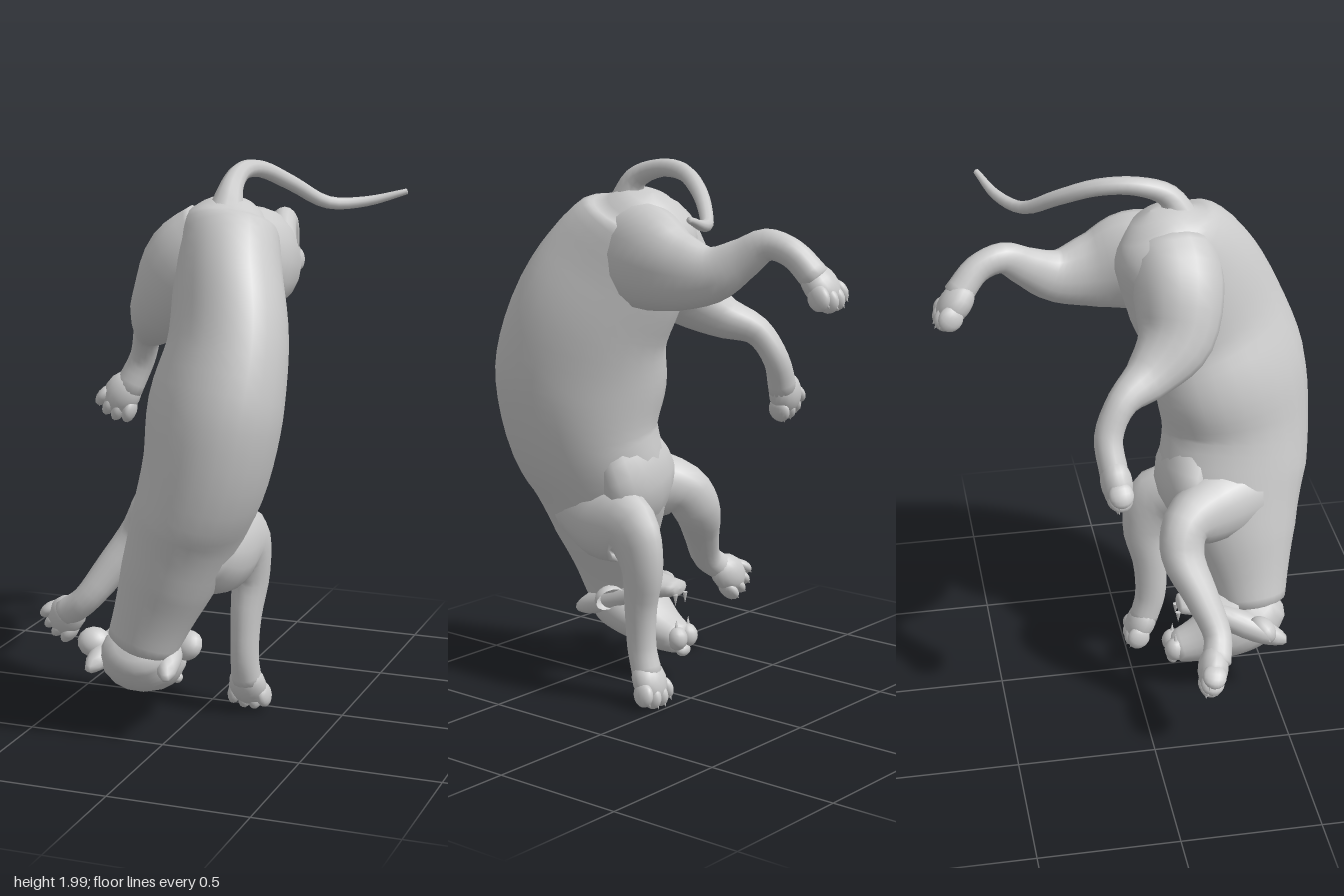
import * as THREE from 'three';

const grey = new THREE.MeshStandardMaterial({ color: 0xcccccc });
const V = (a) => new THREE.Vector3(...a);

// Skin over stations [x, y, z, radiusAcross, radiusDeep, skew], rounded off at both ends
function loft(name, stations, sides = 16, steps = 4) {
  const path = new THREE.CatmullRomCurve3(stations.map((s) => V(s.slice(0, 3))));
  const radii = new THREE.CatmullRomCurve3(
    stations.map((s) => new THREE.Vector3(s[3], s[4] ?? s[3], s[5] ?? 0)), false, 'catmullrom');
  const n = (stations.length - 1) * steps;
  const pos = [], idx = [];
  const normal = new THREE.Vector3(1, 0, 0), tangent = new THREE.Vector3(), across = new THREE.Vector3();
  const ring = (c, r, size, shift) => {
    for (let j = 0; j < sides; j++) {
      const t = (j / sides) * Math.PI * 2;
      const p = c.clone().addScaledVector(tangent, shift)
        .addScaledVector(normal, Math.cos(t) * r.x * size)
        .addScaledVector(across, Math.sin(t + r.z) * r.y * size);
      pos.push(p.x, p.y, p.z);
    }
  };
  for (let i = 0; i <= n; i++) {
    const t = i / n, c = path.getPoint(t), r = radii.getPoint(t);
    path.getTangent(t, tangent);
    normal.addScaledVector(tangent, -normal.dot(tangent)).normalize();
    across.crossVectors(tangent, normal);
    const bulge = 0.35 * Math.min(r.x, r.y);
    if (i === 0) {
      ring(c, r, 0, -bulge);
      ring(c, r, 0.65, -bulge * 0.7);
    }
    ring(c, r, 1, 0);
    if (i === n) {
      ring(c, r, 0.65, bulge * 0.7);
      ring(c, r, 0, bulge);
    }
  }
  for (let i = 0; i < n + 4; i++) {
    for (let j = 0; j < sides; j++) {
      const k = (j + 1) % sides;
      const a = i * sides + j, b = i * sides + k, c = a + sides, d = b + sides;
      idx.push(a, b, c, b, d, c);
    }
  }
  const g = new THREE.BufferGeometry();
  g.setAttribute('position', new THREE.Float32BufferAttribute(pos, 3));
  g.setIndex(idx);
  g.computeVertexNormals();
  const mesh = new THREE.Mesh(g, grey);
  mesh.name = name;
  return mesh;
}

function ball(name, p, size) {
  const m = new THREE.Mesh(new THREE.SphereGeometry(1, 14, 10), grey);
  m.position.set(...p);
  m.scale.set(...size);
  m.name = name;
  return m;
}

function cone(name, p, r, h, rotX) {
  const m = new THREE.Mesh(new THREE.ConeGeometry(r, h, 7), grey);
  m.position.set(...p);
  m.rotation.x = rotX;
  m.name = name;
  return m;
}

// Group whose local z points along dir and local x along side
function oriented(name, p, dir, side) {
  const z = V(dir).normalize(), x = V(side);
  x.addScaledVector(z, -x.dot(z)).normalize();
  const g = new THREE.Group();
  g.quaternion.setFromRotationMatrix(new THREE.Matrix4().makeBasis(x, z.clone().cross(x), z));
  g.position.set(...p);
  g.name = name;
  return g;
}

function paw(name, p, dir, side) {
  const g = oriented(name, p, dir, side);
  g.add(ball('pad', [0, 0, -0.01], [0.07, 0.055, 0.085]));
  for (let i = 0; i < 4; i++) {
    const u = i - 1.5, z = 0.05 - 0.008 * u * u;
    const toe = ball('toe', [u * 0.037, 0, z], [0.025, 0.043, 0.047]);
    toe.rotation.y = u * 0.12;
    g.add(toe, cone('claw', [u * 0.039, -0.015, z + 0.042], 0.009, 0.022, Math.PI / 2));
  }
  return g;
}

export function createModel() {
  const model = new THREE.Group();

  // Upside-down, slightly twisted trunk, rump at the top and neck at the bottom
  model.add(loft('body', [
    [0.11, 1.84, 0.10, 0.11, 0.12, 0.1], [0.105, 1.77, 0.13, 0.18, 0.20, 0.2], [0.14, 1.6, 0.23, 0.205, 0.255, 0.3],
    [0.175, 1.4, 0.33, 0.23, 0.27, 0.32], [0.155, 1.2, 0.39, 0.255, 0.29, 0.3], [0.13, 1.0, 0.41, 0.23, 0.28, 0.2],
    [0.06, 0.8, 0.39, 0.20, 0.275, 0.1], [-0.01, 0.6, 0.41, 0.17, 0.21, 0.05],
    [-0.06, 0.46, 0.425, 0.14, 0.16], [-0.1, 0.35, 0.435, 0.125, 0.13],
  ], 24));

  // Tail arching over the rump
  model.add(loft('tail', [
    [0.12, 1.82, 0.2, 0.07], [0.125, 1.92, 0.15, 0.042], [0.125, 1.965, 0.04, 0.033], [0.15, 1.96, -0.09, 0.03],
    [0.22, 1.9, -0.22, 0.027], [0.32, 1.825, -0.33, 0.023], [0.44, 1.825, -0.41, 0.019], [0.575, 1.86, -0.465, 0.011],
  ], 10));

  // Legs
  model.add(loft('leftHindLeg', [
    [0.14, 1.68, 0.17, 0.14, 0.17], [0.185, 1.655, 0.03, 0.13, 0.185], [0.195, 1.625, -0.11, 0.095, 0.14],
    [0.175, 1.625, -0.24, 0.068, 0.098], [0.145, 1.68, -0.34, 0.052, 0.072], [0.12, 1.735, -0.43, 0.047, 0.055],
    [0.1, 1.71, -0.52, 0.047, 0.05], [0.07, 1.63, -0.595, 0.055, 0.052],
  ]));
  model.add(loft('rightHindLeg', [
    [0.08, 1.72, 0.15, 0.17, 0.16], [-0.02, 1.64, 0.16, 0.175, 0.16], [-0.125, 1.5, 0.13, 0.125, 0.135],
    [-0.205, 1.41, 0.03, 0.08, 0.09], [-0.28, 1.355, -0.08, 0.054, 0.055],
    [-0.325, 1.25, -0.135, 0.048, 0.05], [-0.38, 1.13, -0.125, 0.055, 0.05],
  ]));
  model.add(loft('leftForeleg', [
    [0.1, 0.72, 0.45, 0.12, 0.13], [0.13, 0.68, 0.3, 0.125, 0.16], [0.17, 0.66, 0.14, 0.085, 0.13],
    [0.175, 0.54, 0.085, 0.068, 0.09], [0.165, 0.38, 0.1, 0.054, 0.066],
    [0.16, 0.23, 0.1, 0.05, 0.058], [0.16, 0.13, 0.075, 0.056, 0.055],
  ]));
  model.add(loft('rightForeleg', [
    [-0.01, 0.78, 0.44, 0.12, 0.14], [-0.08, 0.77, 0.29, 0.12, 0.14], [-0.165, 0.745, 0.17, 0.085, 0.1],
    [-0.22, 0.66, 0.15, 0.074, 0.088], [-0.31, 0.54, 0.2, 0.06, 0.068],
    [-0.4, 0.42, 0.245, 0.05, 0.054], [-0.48, 0.36, 0.225, 0.055, 0.052],
  ]));
  model.add(loft('chest', [
    [0.1, 1.0, 0.27, 0.13, 0.1], [0.05, 0.82, 0.2, 0.18, 0.1], [0, 0.66, 0.26, 0.12, 0.08],
  ]));

  model.add(paw('leftHindPaw', [0.055, 1.6, -0.61], [-0.1, -0.75, -0.6], [1, 0, 0]));
  model.add(paw('rightHindPaw', [-0.405, 1.105, -0.12], [-0.45, -0.85, 0.12], [0.85, -0.5, 0]));
  model.add(paw('leftForePaw', [0.16, 0.1, 0.06], [0, -0.85, -0.4], [1, 0, 0]));
  model.add(paw('rightForePaw', [-0.495, 0.34, 0.21], [-0.7, -0.65, -0.2], [0.7, -0.7, 0]));

  // Head with crown down and open mouth towards the back
  const head = new THREE.Group();
  head.name = 'head';
  head.add(loft('skull', [
    [-0.1, 0.355, 0.5, 0.11, 0.09], [-0.115, 0.3, 0.43, 0.14, 0.12], [-0.12, 0.25, 0.34, 0.135, 0.105],
    [-0.12, 0.205, 0.24, 0.095, 0.082], [-0.12, 0.18, 0.15, 0.066, 0.058],
  ], 18));
  head.add(loft('lowerJaw', [
    [-0.11, 0.365, 0.36, 0.11, 0.06], [-0.115, 0.37, 0.25, 0.078, 0.044], [-0.12, 0.375, 0.16, 0.052, 0.03],
  ], 12));
  head.add(ball('nose', [-0.12, 0.14, 0.135], [0.034, 0.024, 0.022]));
  for (const s of [-1, 1]) {
    const x = -0.12;
    head.add(ball('eye', [x + s * 0.082, 0.175, 0.26], [0.02, 0.02, 0.022]));
    head.add(ball('muzzlePad', [x + s * 0.03, 0.19, 0.14], [0.038, 0.045, 0.04]));
    head.add(cone('upperFang', [x + s * 0.034, 0.24, 0.14], 0.011, 0.05, 0));
    head.add(cone('lowerFang', [x + s * 0.028, 0.335, 0.15], 0.01, 0.045, Math.PI));
    // Ruff sweeping from the nape along the jaw
    const ruff = ball('ruff', [x + s * 0.105, 0.325, 0.39], [0.05, 0.05, 0.17]);
    ruff.rotation.set(0.4, s * 0.25, 0);
    head.add(ruff);
    // Flattened, cupped ear
    const ear = oriented('ear', [x + s * 0.16, 0.335, 0.4 - s * 0.04], [s * 0.3, -0.5, -0.8], [s, 0.15, 0.3]);
    const cup = new THREE.Mesh(
      new THREE.SphereGeometry(1, 14, 8, 0, Math.PI * 2, 0, Math.PI * 0.55).rotateX(-Math.PI / 2),
      new THREE.MeshStandardMaterial({ color: 0xcccccc, side: THREE.DoubleSide }));
    cup.name = 'earCup';
    cup.scale.set(0.06, 0.055, 0.045);
    ear.add(cup);
    head.add(ear);
  }
  model.add(head);
  return model;
}
